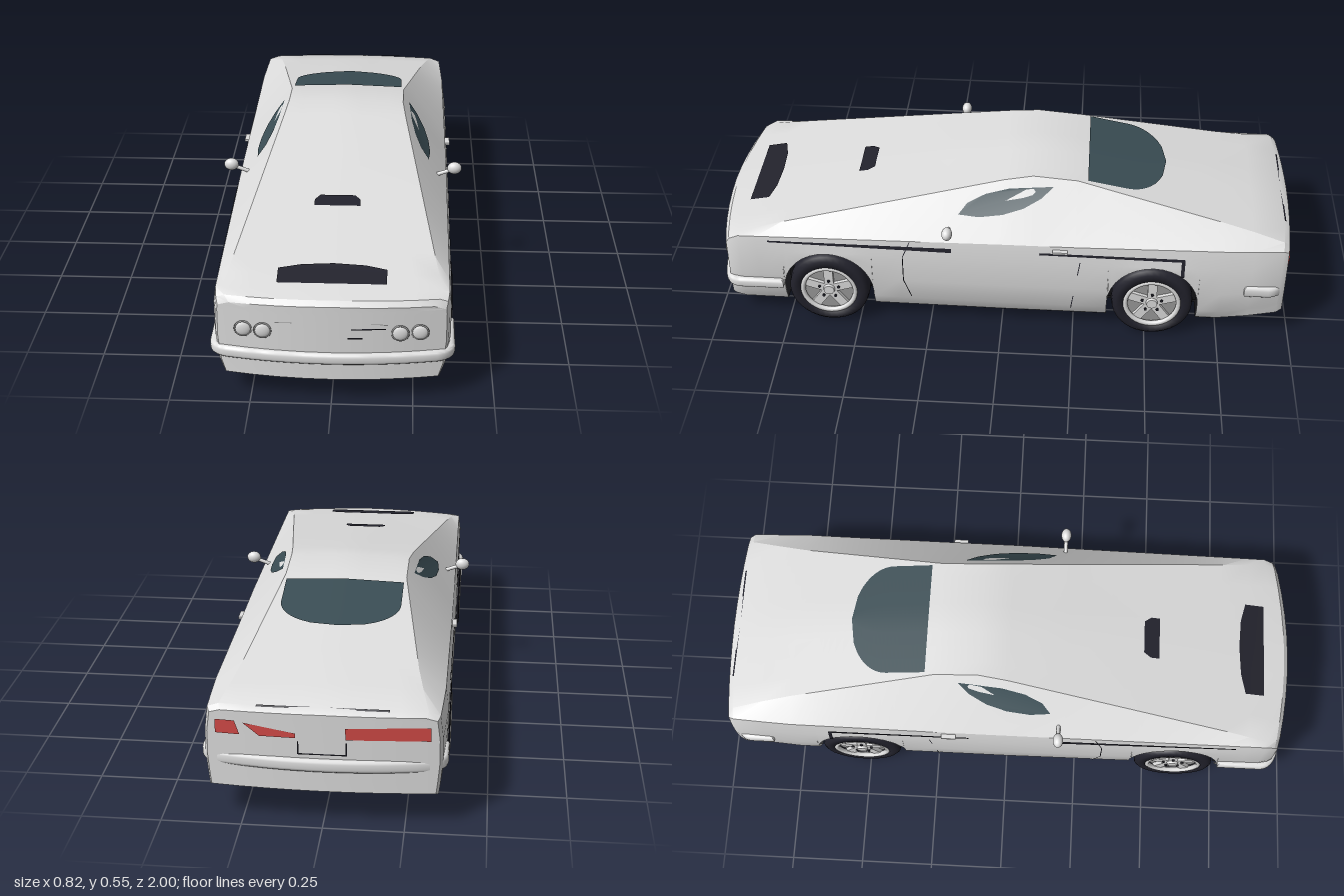
import * as THREE from 'three';
import { toCreasedNormals, mergeGeometries } from 'three/addons/utils/BufferGeometryUtils.js';

const material = (name, color) => new THREE.MeshStandardMaterial({ name, color, side: THREE.DoubleSide });
const paint = material('pale grey paint', 0xdedede);
const rubber = material('dark trim', 0x22222c);
const black = material('underbody black', 0x111114);
const glass = material('tinted glass', 0x3a4d54);
const red = material('tail light red', 0xd24a47);
const steel = material('exhaust steel', 0x45423d);
const shade = material('rim grey', 0x9a9a9a);

const { lerp, clamp } = THREE.MathUtils;
const AXLES = [-0.52, 0.6], HUB_Y = 0.14, ARCH = 0.155;

// Body stations: z, width scale, sill y, belt y, roof edge x, roof edge y, roof centre y
const STATIONS = [
  [-0.985, 0.95, 0.12, 0.365, 0.31, 0.375, 0.378],
  [-0.965, 0.975, 0.11, 0.375, 0.315, 0.388, 0.392],
  [-0.75, 1, 0.06, 0.372, 0.275, 0.43, 0.44],
  [-0.25, 1, 0.06, 0.365, 0.205, 0.53, 0.537],
  [-0.1, 1, 0.06, 0.365, 0.205, 0.543, 0.553],
  [0, 1, 0.06, 0.365, 0.215, 0.53, 0.538],
  [0.93, 0.98, 0.068, 0.352, 0.335, 0.354, 0.358],
  [0.97, 0.96, 0.075, 0.335, 0.325, 0.345, 0.35],
  [0.985, 0.94, 0.08, 0.315, 0.31, 0.328, 0.335],
];
// Lower side profile: y, half width
const SIDE = [[0.06, 0.335], [0.1, 0.358], [0.2, 0.37], [0.29, 0.371], [0.37, 0.36]];

// Interpolates a table row by its first column
function sample(table, t) {
  let i = 0;
  while (i < table.length - 2 && t > table[i + 1][0]) i++;
  const a = table[i], b = table[i + 1], k = clamp((t - a[0]) / (b[0] - a[0]), 0, 1);
  return a.map((v, n) => lerp(v, b[n], k));
}
const station = (z) => {
  const [, scale, sill, belt, edgeX, edgeY, midY] = sample(STATIONS, z);
  return { scale, sill, belt, edgeX, edgeY, midY };
};
function bodyX(z, y) {
  const s = station(z);
  if (y <= s.belt) return sample(SIDE, y)[1] * s.scale;
  return lerp(sample(SIDE, s.belt)[1] * s.scale, s.edgeX, clamp((y - s.belt) / (s.edgeY - s.belt), 0, 1));
}
function topY(x, z) {
  const s = station(z);
  return lerp(s.midY, s.edgeY, Math.min(1, Math.abs(x) / s.edgeX));
}
// Rounds the nose and tail in plan
const bow = (x, z) => z + (x / 0.36) ** 2 *
  (0.02 * clamp((-z - 0.85) / 0.13, 0, 1) - 0.04 * clamp((z - 0.8) / 0.185, 0, 1));
function lowerEdge(z) {
  for (const c of AXLES) {
    const d = Math.abs(z - c);
    if (d <= ARCH + 1e-6) return HUB_Y + Math.sqrt(Math.max(0, ARCH * ARCH - d * d));
  }
  return station(z).sill;
}

// Surface from a rule; i runs across, j along
function grid(n, m, rule) {
  const pos = [], index = [];
  for (let j = 0; j <= m; j++) for (let i = 0; i <= n; i++) pos.push(...rule(i, j));
  for (let j = 0; j < m; j++) for (let i = 0; i < n; i++) {
    const a = j * (n + 1) + i, c = a + n + 1;
    index.push(a, a + 1, c, a + 1, c + 1, c);
  }
  const g = new THREE.BufferGeometry();
  g.setAttribute('position', new THREE.Float32BufferAttribute(pos, 3));
  g.setIndex(index);
  g.computeVertexNormals();
  return g;
}

function add(parent, name, geometry, mat, x = 0, y = 0, z = 0) {
  const mesh = new THREE.Mesh(geometry, mat);
  mesh.name = name;
  mesh.position.set(x, y, z);
  parent.add(mesh);
  return mesh;
}

// Flat outline laid onto the body by a mapping rule
function plate(parent, name, outline, mat, map) {
  const g = new THREE.ShapeGeometry(new THREE.Shape(outline.map((p) => new THREE.Vector2(...p))));
  const p = g.attributes.position;
  for (let i = 0; i < p.count; i++) p.setXYZ(i, ...map(p.getX(i), p.getY(i)));
  g.computeVertexNormals();
  return add(parent, name, g, mat);
}
const onSide = (s) => (z, y) => [s * (bodyX(z, y) + 0.004), y, z];
const onTop = (x, z) => [x, topY(x, z) + 0.004, bow(x, z)];
const onFront = (x, y) => [x, y, bow(x, 0.985) + 0.004];
const onBack = (x, y) => [x, y, bow(x, -0.985) - 0.004];
const rect = (a, b, c, d) => [[a, c], [b, c], [b, d], [a, d]];

function addBody(car) {
  const zs = STATIONS.map((s) => s[0]).concat([-0.85, 0.2, 0.35, 0.85]);
  for (const c of AXLES) {
    zs.push(c - ARCH - 0.0005, c + ARCH + 0.0005);
    for (let k = 0; k <= 16; k++) zs.push(c + ARCH * Math.cos(k / 16 * Math.PI));
  }
  zs.sort((a, b) => a - b);
  const side = (z) => {
    const s = station(z), y0 = lowerEdge(z);
    const ys = [0, 0.2, 0.55, 1].map((t) => lerp(y0, 0.3, t)).concat(s.belt, s.edgeY);
    return ys.map((y) => [bodyX(z, y), y]);
  };
  const section = (z) => {
    const right = side(z), s = station(z), top = [];
    for (let k = 1; k < 8; k++) {
      const x = s.edgeX * (1 - k / 4);
      top.push([x, topY(x, z)]);
    }
    return [...right, ...top, ...right.slice().reverse().map(([x, y]) => [-x, y])];
  };
  const rings = zs.map(section);
  const shell = grid(rings[0].length - 1, zs.length - 1, (i, j) => {
    const [x, y] = rings[j][i];
    return [x, y, bow(x, zs[j])];
  });
  const cap = (z, dir) => {
    const rows = side(z);
    return grid(8, rows.length - 1, (i, j) => {
      const x = rows[j][0] * dir * (i / 4 - 1);
      return [x, j === rows.length - 1 ? topY(x, z) : rows[j][1], bow(x, z)];
    });
  };
  const merged = mergeGeometries([shell, cap(0.985, 1), cap(-0.985, -1)]);
  add(car, 'bodyShell', toCreasedNormals(merged, 0.5), paint);

  // Underbody, leaving the wheel wells open
  const floor = (x0, x1, z0, z1) => add(car, 'underbody', grid(4, 20, (i, j) => {
    const z = lerp(z0, z1, j / 20), x = lerp(x0, x1, i / 4) * station(z).scale;
    return [x, station(z).sill, bow(x, z)];
  }), black);
  floor(-0.255, 0.255, -0.985, 0.985);
  const ends = [-0.985, AXLES[0] - ARCH, AXLES[0] + ARCH, AXLES[1] - ARCH, AXLES[1] + ARCH, 0.985];
  for (let k = 0; k < 6; k += 2) {
    floor(0.255, 0.336, ends[k], ends[k + 1]);
    floor(-0.336, -0.255, ends[k], ends[k + 1]);
  }
  for (const z of AXLES) add(car, 'wheelWell', new THREE.BoxGeometry(0.51, 0.22, 0.32), black, 0, 0.18, z);
}

// Wraparound bumper, dir is +1 at the front
function addBumper(car, name, dir, backZ, y, height) {
  const s = new THREE.Shape();
  s.moveTo(-0.365, backZ);
  s.lineTo(0.365, backZ);
  s.lineTo(0.365, 0.91);
  s.quadraticCurveTo(0.362, 0.945, 0.32, 0.957);
  s.quadraticCurveTo(0.16, 0.988, 0, 0.988);
  s.quadraticCurveTo(-0.16, 0.988, -0.32, 0.957);
  s.quadraticCurveTo(-0.362, 0.945, -0.365, 0.91);
  const b = 0.012;
  const g = new THREE.ExtrudeGeometry(s, { depth: height - 2 * b, bevelSize: b, bevelThickness: b, bevelSegments: 3, curveSegments: 8 });
  g.rotateX(Math.PI / 2).translate(0, y + height - b, 0);
  if (dir < 0) g.rotateY(Math.PI);
  add(car, name, toCreasedNormals(g, 0.6), paint);
}

function addWheel(car, sideSign, z) {
  const wheel = new THREE.Group();
  wheel.name = 'wheel';
  const profile = [[0.09, -0.05], [0.125, -0.05], [0.137, -0.04], [0.14, -0.02], [0.14, 0.02], [0.137, 0.04], [0.125, 0.05], [0.1, 0.052], [0.094, 0.03]];
  const turn = (g) => g.rotateZ(-Math.PI / 2);
  add(wheel, 'tyre', turn(new THREE.LatheGeometry(profile.map((p) => new THREE.Vector2(...p)), 36)), rubber);
  add(wheel, 'rimDish', turn(new THREE.CylinderGeometry(0.096, 0.096, 0.06, 28)), shade);
  add(wheel, 'rimRing', new THREE.TorusGeometry(0.092, 0.009, 8, 32).rotateY(Math.PI / 2), paint, 0.044);
  add(wheel, 'hubCap', turn(new THREE.CylinderGeometry(0.018, 0.025, 0.024, 16)), paint, 0.04);
  for (let k = 0; k < 5; k++) {
    const a = k / 5 * Math.PI * 2;
    add(wheel, 'spoke', new THREE.BoxGeometry(0.014, 0.08, 0.032).translate(0, 0.05, 0), paint, 0.036).rotation.x = a;
    const bolt = turn(new THREE.CylinderGeometry(0.005, 0.005, 0.01, 8));
    add(wheel, 'wheelBolt', bolt, rubber, 0.043, 0.035 * Math.cos(a), 0.035 * Math.sin(a));
  }
  wheel.position.set(sideSign * 0.321, HUB_Y, z);
  if (sideSign < 0) wheel.rotation.y = Math.PI;
  car.add(wheel);
}

function addSide(car, s) {
  const on = onSide(s);
  plate(car, 'sideWindow', [[0.15, 0.437], [0.12, 0.468], [0.06, 0.493], [-0.02, 0.51], [-0.17, 0.517], [-0.13, 0.487], [-0.07, 0.46], [0, 0.442], [0.08, 0.433]], glass, on);
  plate(car, 'frontStripe', [[0.8, 0.335], [0.17, 0.326], [0.17, 0.342], [0.8, 0.341]], rubber, on);
  plate(car, 'rearStripe', [[-0.13, 0.333], [-0.62, 0.327], [-0.62, 0.338], [-0.13, 0.341]], rubber, on);
  plate(car, 'stripeDrop', rect(-0.622, -0.61, 0.265, 0.337), rubber, on);
  // Door seams
  plate(car, 'doorSeam', [[0.31, 0.36], [0.335, 0.3], [0.335, 0.2], [0.31, 0.12], [0.313, 0.12], [0.338, 0.2], [0.338, 0.3], [0.313, 0.36]], rubber, on);
  plate(car, 'doorSeam', [[-0.267, 0.31], [-0.24, 0.1], [-0.243, 0.1], [-0.27, 0.31]], rubber, on);
  add(car, 'doorHandle', new THREE.BoxGeometry(0.016, 0.008, 0.05), paint, s * 0.37, 0.349, -0.2);
  // Mirror on a stalk
  const stalk = new THREE.LineCurve3(new THREE.Vector3(s * 0.31, 0.39, 0.18), new THREE.Vector3(s * 0.38, 0.415, 0.18));
  add(car, 'mirrorStalk', new THREE.TubeGeometry(stalk, 1, 0.007, 8), paint);
  add(car, 'mirror', new THREE.SphereGeometry(0.025, 18, 12).scale(1, 0.85, 0.72), paint, s * 0.385, 0.42, 0.18);
  // Paired headlights
  for (const x of [0.208, 0.268]) {
    const z = bow(x, 0.985);
    add(car, 'headlight', new THREE.SphereGeometry(0.024, 20, 10).scale(1, 1, 0.35), paint, s * x, 0.243, z + 0.002);
    add(car, 'headlightRing', new THREE.TorusGeometry(0.025, 0.003, 6, 28), shade, s * x, 0.243, z + 0.002);
  }
  for (const z of AXLES) addWheel(car, s, z);
}

export function createModel() {
  const car = new THREE.Group();
  car.name = 'sportsCar';
  addBody(car);
  addBumper(car, 'frontBumper', 1, 0.77, 0.138, 0.038);
  addBumper(car, 'rearBumper', -1, 0.84, 0.19, 0.042);
  for (const s of [-1, 1]) addSide(car, s);

  // Rear window with a rounded lower edge
  add(car, 'rearWindow', grid(8, 20, (i, j) => {
    const z = -0.285 - 0.27 * j / 20, k = Math.max(0, (-0.42 - z) / 0.135);
    return onTop(0.198 * Math.sqrt(Math.max(0, 1 - k * k)) * (1 - i / 4), z);
  }), glass);
  // Bonnet vents
  plate(car, 'bonnetVent', [[-0.077, 0.52], [0.072, 0.52], [0.072, 0.49], [0.055, 0.466], [-0.06, 0.466], [-0.077, 0.49]], rubber, onTop);
  plate(car, 'noseVent', [[-0.17, 0.9], [0.165, 0.9], [0.165, 0.83], [0.1, 0.812], [0, 0.806], [-0.1, 0.812], [-0.17, 0.83]], rubber, onTop);
  plate(car, 'deckSeam', rect(-0.2, 0.2, -0.972, -0.966), rubber, onTop);
  // Nose panel lines
  plate(car, 'grilleSlot', rect(0.06, 0.165, 0.258, 0.262), rubber, onFront);
  plate(car, 'grilleSlot', rect(0.05, 0.095, 0.227, 0.231), rubber, onFront);
  plate(car, 'noseSeam', rect(-0.17, 0.17, 0.274, 0.276), shade, onFront);
  // Tail lights and plate frame
  plate(car, 'tailLight', [[-0.325, 0.3], [-0.07, 0.3], [-0.07, 0.338], [-0.325, 0.345]], red, onBack);
  plate(car, 'tailLight', [[0.25, 0.3], [0.325, 0.3], [0.325, 0.345], [0.265, 0.345]], red, onBack);
  plate(car, 'tailLight', [[0.08, 0.3], [0.19, 0.3], [0.24, 0.34], [0.08, 0.315]], red, onBack);
  plate(car, 'plateFrame', rect(-0.075, 0.075, 0.246, 0.25), rubber, onBack);
  for (const x of [-0.075, 0.071]) plate(car, 'plateFrame', rect(x, x + 0.004, 0.25, 0.29), rubber, onBack);
  // Exhaust
  add(car, 'exhaustPipe', new THREE.CylinderGeometry(0.009, 0.009, 1.2, 10).rotateX(Math.PI / 2), steel, 0.035, 0.053, -0.2);
  add(car, 'exhaustBox', new THREE.BoxGeometry(0.07, 0.016, 0.13), steel, 0.035, 0.053, 0);
  add(car, 'rearSilencer', new THREE.SphereGeometry(0.15, 20, 10).scale(1, 0.12, 0.3), steel, 0.035, 0.066, -0.8);
  return car;
}
